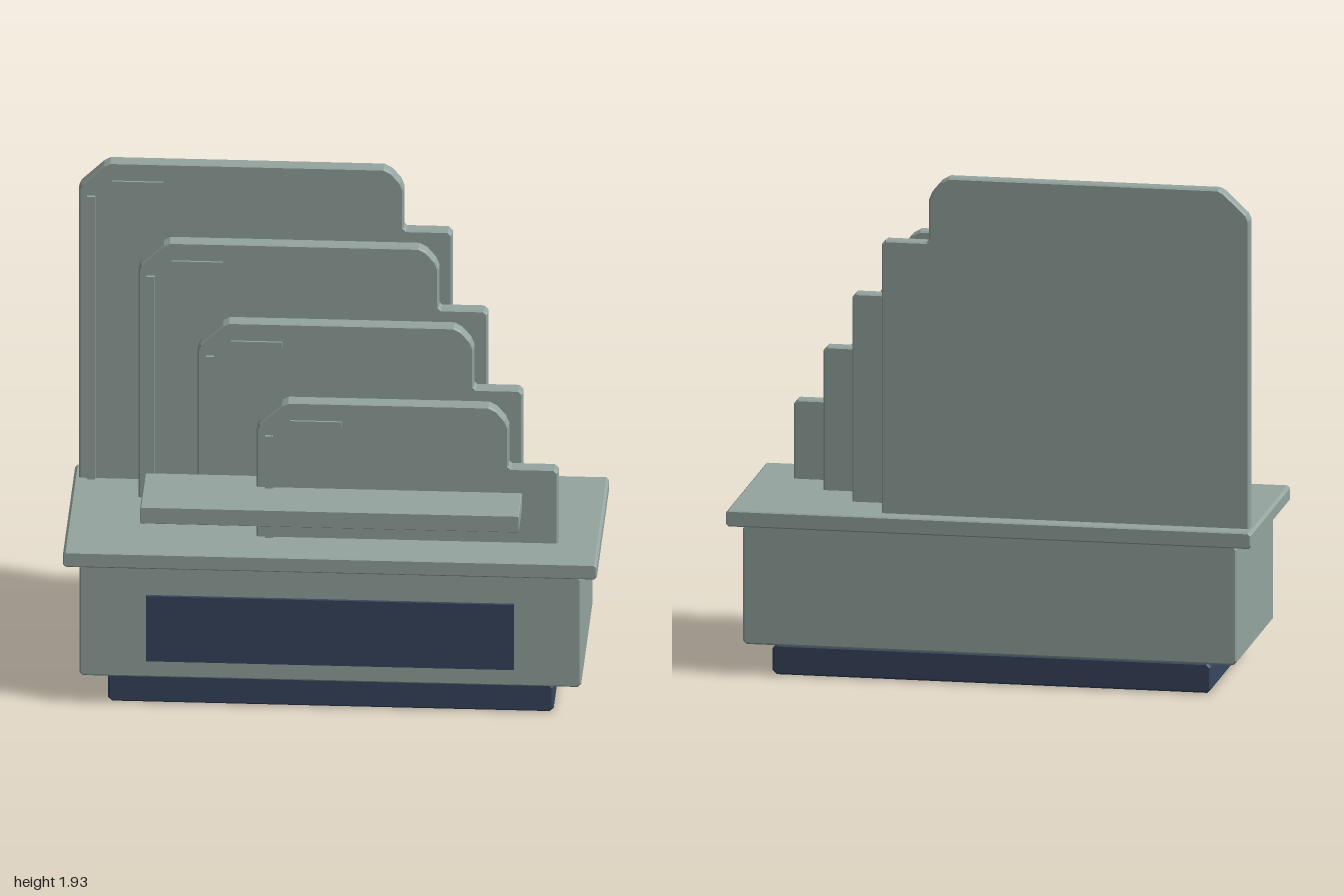
import * as THREE from 'three';

const sage = new THREE.MeshStandardMaterial({ name: 'sage grey', color: 0x95a5a0 });
const navy = new THREE.MeshStandardMaterial({ name: 'navy', color: 0x38465e });

// Extrudes a shape along z from z0 to z1, with a small chamfer kept inside the outline
function slab(name, points, z0, z1, bevel, material) {
  const shape = new THREE.Shape(points.map(([x, y]) => new THREE.Vector2(x, y)));
  const geometry = new THREE.ExtrudeGeometry(shape, {
    depth: z1 - z0 - 2 * bevel, bevelEnabled: bevel > 0, bevelSize: bevel,
    bevelThickness: bevel, bevelOffset: -bevel, bevelSegments: 1,
  });
  geometry.translate(0, 0, z0 + bevel);
  const mesh = new THREE.Mesh(geometry, material);
  mesh.name = name;
  return mesh;
}

// Box given by its limits, with chamfered corners of size c
function block(name, [x0, x1], [y0, y1], [z0, z1], c, material) {
  if (c === 0) {
    const mesh = new THREE.Mesh(new THREE.BoxGeometry(x1 - x0, y1 - y0, z1 - z0), material);
    mesh.position.set((x0 + x1) / 2, (y0 + y1) / 2, (z0 + z1) / 2);
    mesh.name = name;
    return mesh;
  }
  const outline = [
    [x0 + c, y0], [x1 - c, y0], [x1, y0 + c], [x1, y1 - c],
    [x1 - c, y1], [x0 + c, y1], [x0, y1 - c], [x0, y0 + c],
  ];
  return slab(name, outline, z0, z1, c * 0.5, material);
}

// Upright panel with a clipped left corner, a rounded right corner and a lower step
function steppedPanel({ left, step, right, top, z }) {
  const group = new THREE.Group();
  group.name = 'steppedPanel';
  const low = top - 0.25, back = z - 0.057;
  group.add(slab('panelBoard', [
    [left, 0.62], [right, 0.62], [right, low - 0.015], [right - 0.015, low],
    [step + 0.01, low], [step, low + 0.01],
    [step, top - 0.085], [step - 0.012, top - 0.055], [step - 0.045, top - 0.016], [step - 0.075, top],
    [left + 0.118, top], [left + 0.095, top - 0.012],
    [left + 0.01, top - 0.093], [left, top - 0.115],
  ], back, z, 0.006, sage));
  // Raised trim on the front face
  group.add(block('uprightTrim', [left + 0.032, left + 0.062], [0.63, top - 0.137], [z - 0.005, z + 0.013], 0, sage));
  group.add(block('topTrim', [left + 0.125, left + 0.317], [top - 0.096, top - 0.073], [z - 0.005, z + 0.009], 0, sage));
  return group;
}

export function createModel() {
  const model = new THREE.Group();
  model.name = 'tieredDisplayStand';

  // Cabinet
  model.add(block('plinth', [-0.835, 0.83], [0, 0.115], [-0.343, 0.318], 0.015, navy));
  model.add(block('cabinetBody', [-0.94, 0.935], [0.12, 0.577], [-0.38, 0.357], 0.013, sage));
  model.add(block('countertop', [-1, 0.995], [0.575, 0.637], [-0.41, 0.383], 0.01, sage));
  model.add(block('frontPlate', [-0.69, 0.685], [0.195, 0.462], [0.366, 0.378], 0, navy));

  // Four panels, tallest at the back
  [
    { left: -0.98, step: 0.235, right: 0.415, top: 1.932, z: -0.288 },
    { left: -0.748, step: 0.375, right: 0.558, top: 1.685, z: -0.125 },
    { left: -0.517, step: 0.515, right: 0.698, top: 1.437, z: 0.038 },
    { left: -0.287, step: 0.655, right: 0.84, top: 1.19, z: 0.2 },
  ].forEach((spec) => model.add(steppedPanel(spec)));

  // Shelf through the front panel
  model.add(block('frontShelf', [-0.71, 0.705], [0.773, 0.84], [0.1, 0.408], 0.004, sage));
  return model;
}
